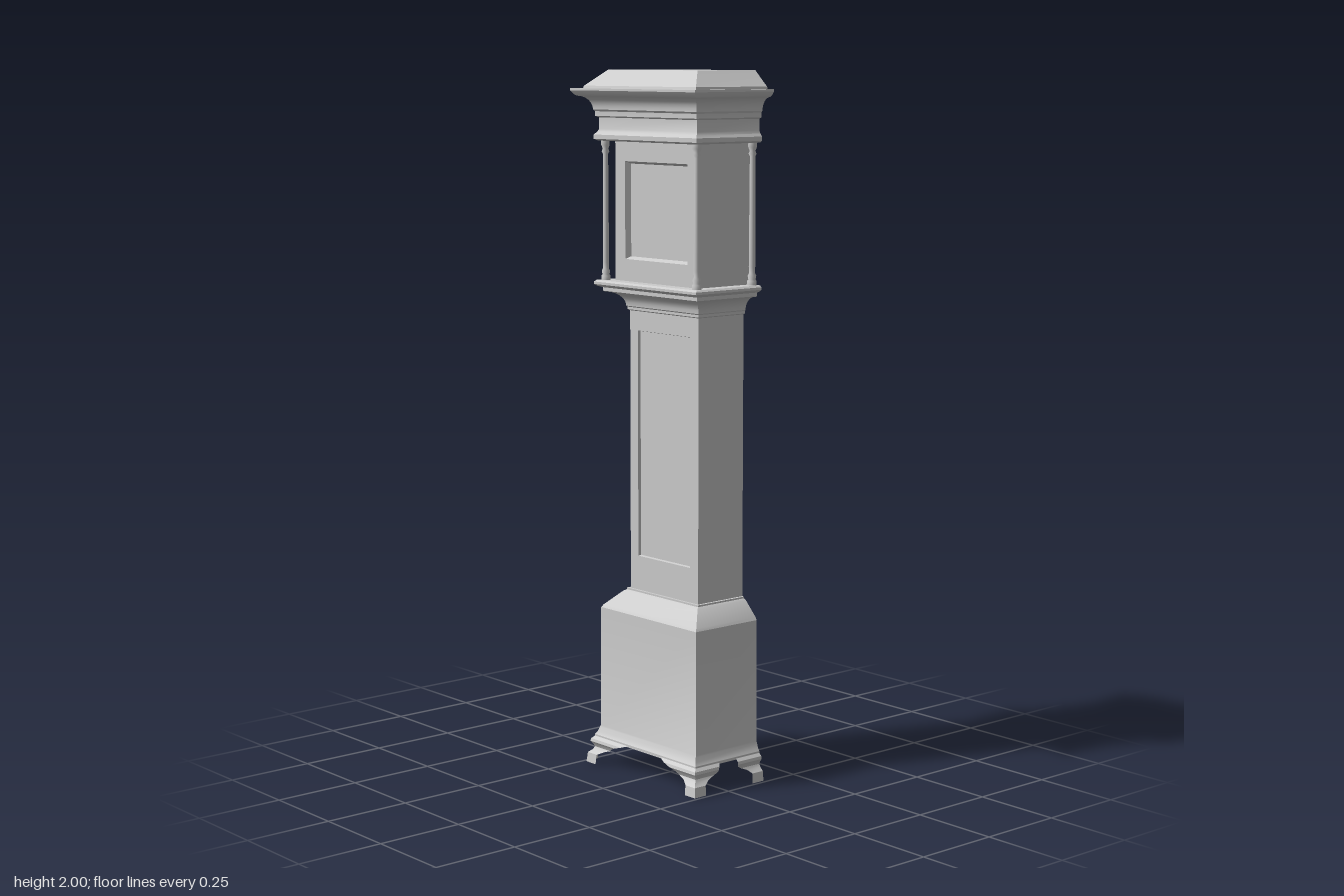
import * as THREE from 'three';
import { toCreasedNormals } from 'three/addons/utils/BufferGeometryUtils.js';

const BACK = -0.143; // open back plane
const INSET = 0.123; // front z of any level = half width - INSET
const material = new THREE.MeshStandardMaterial({ color: 0xcccccc, side: THREE.DoubleSide });

// Surface through rows of equally many points
function loft(rows, crease = 0.5) {
  const pos = [];
  for (let j = 0; j < rows.length - 1; j++) {
    for (let i = 0; i < rows[j].length - 1; i++) {
      const a = rows[j][i], b = rows[j][i + 1], c = rows[j + 1][i + 1], d = rows[j + 1][i];
      pos.push(...a, ...b, ...c, ...a, ...c, ...d);
    }
  }
  const geo = new THREE.BufferGeometry();
  geo.setAttribute('position', new THREE.Float32BufferAttribute(pos, 3));
  geo.computeVertexNormals();
  return toCreasedNormals(geo, crease);
}

function add(parent, name, geometry) {
  const mesh = new THREE.Mesh(geometry, material);
  mesh.name = name;
  parent.add(mesh);
  return mesh;
}

// Three-sided shell from a profile of [halfWidth, y]
const shell = (profile) => loft(profile.map(([w, y]) => [
  [-w, y, BACK], [-w, y, w - INSET], [w, y, w - INSET], [w, y, BACK],
]));

// Concave moulding curve between two profile points
function cove([w0, y0], [w1, y1], steps = 6) {
  return Array.from({ length: steps + 1 }, (_, i) => {
    const a = (i / steps) * Math.PI / 2;
    return [w0 + (w1 - w0) * (1 - Math.cos(a)), y0 + (y1 - y0) * Math.sin(a)];
  });
}

const rectangle = (T, w, y0, y1) => new T([
  new THREE.Vector2(-w, y0), new THREE.Vector2(w, y0),
  new THREE.Vector2(w, y1), new THREE.Vector2(-w, y1),
]);

// Case section: two side walls and a front with a recessed panel
function caseSection(parent, name, w, y0, y1, panel) {
  const group = new THREE.Group();
  group.name = name;
  parent.add(group);
  const z = w - INSET;
  for (const s of [-1, 1]) {
    add(group, 'sideWall', loft([y0, y1].map((y) => [[s * w, y, s < 0 ? BACK : z], [s * w, y, s < 0 ? z : BACK]])));
  }
  const front = rectangle(THREE.Shape, w, y0, y1);
  front.holes.push(rectangle(THREE.Path, panel.w, panel.y0, panel.y1));
  add(group, 'frontFrame', new THREE.ShapeGeometry(front)).position.z = z;

  const ring = (inset, depth) => [[-1, 0], [1, 0], [1, 1], [-1, 1], [-1, 0]].map(([sx, t]) => [
    sx * (panel.w - inset), t ? panel.y1 - inset : panel.y0 + inset, z - depth,
  ]);
  add(group, 'panelBevel', loft([ring(0, 0), ring(panel.bevel, panel.depth)]));
  const inner = rectangle(THREE.Shape, panel.w - panel.bevel, panel.y0 + panel.bevel, panel.y1 - panel.bevel);
  add(group, 'doorPanel', new THREE.ShapeGeometry(inner)).position.z = z - panel.depth;
}

export function createModel() {
  const clock = new THREE.Group();
  clock.name = 'longcaseClock';

  // Plinth with skirting and sloped shoulder
  add(clock, 'base', shell([
    [0.222, 0.075], [0.222, 0.083], [0.216, 0.092], [0.212, 0.105], [0.21, 0.11],
    [0.208, 0.462], [0.203, 0.47], [0.163, 0.511], [0.155, 0.516], [0.155, 0.521], [0.147, 0.521],
  ]));

  // Bracket feet: rows of [halfWidth, y, reach along the wall]
  const foot = [
    [0.24, 0, 0.042], [0.237, 0.028, 0.04], [0.226, 0.038, 0.05], [0.222, 0.046, 0.07],
    [0.226, 0.054, 0.085], [0.232, 0.062, 0.11], [0.23, 0.07, 0.135], [0.222, 0.078, 0.15],
  ];
  for (const s of [-1, 1]) {
    add(clock, 'frontFoot', loft(foot.map(([w, y, r]) => {
      const z = w - INSET, k = Math.min(r, 0.09);
      const row = [[s * (w - r), y, z], [s * w, y, z], [s * w, y, z - k]];
      return s > 0 ? row : row.reverse();
    })));
    add(clock, 'backFoot', loft(foot.map(([w, y, r]) => {
      const row = [[s * w, y, BACK + Math.min(r, 0.09)], [s * w, y, BACK]];
      return s > 0 ? row : row.reverse();
    })));
  }

  caseSection(clock, 'trunk', 0.147, 0.521, 1.33, { w: 0.113, y0: 0.62, y1: 1.27, bevel: 0.002, depth: 0.008 });

  // Moulding that carries the hood
  add(clock, 'waistMoulding', shell([
    [0.147, 1.325], [0.152, 1.328], [0.152, 1.335],
    ...cove([0.155, 1.338], [0.198, 1.378]),
    [0.202, 1.38], [0.202, 1.39], [0.213, 1.394], [0.22, 1.399], [0.22, 1.406], [0.214, 1.411], [0.176, 1.411],
  ]));

  caseSection(clock, 'hood', 0.176, 1.411, 1.805, { w: 0.133, y0: 1.473, y1: 1.747, bevel: 0.007, depth: 0.016 });

  // Slim turned columns at the hood corners
  const column = new THREE.LatheGeometry([
    [0.013, 0], [0.013, 0.012], [0.01, 0.016], [0.012, 0.026], [0.008, 0.034], [0.009, 0.05],
    [0.0075, 0.355], [0.011, 0.362], [0.008, 0.37], [0.012, 0.38], [0.012, 0.394],
  ].map(([r, y]) => new THREE.Vector2(r, y)), 16);
  for (const x of [-0.195, 0.195]) {
    for (const [name, z] of [['frontColumn', 0.073], ['backColumn', -0.13]]) {
      add(clock, name, column).position.set(x, 1.411, z);
    }
  }

  // Frieze, cornice and hipped top
  add(clock, 'cornice', shell([
    [0.176, 1.803], [0.21, 1.803], [0.219, 1.808], [0.219, 1.82], [0.212, 1.828], [0.208, 1.836],
    [0.208, 1.868], [0.216, 1.872], [0.216, 1.885],
    ...cove([0.22, 1.89], [0.252, 1.928]),
    [0.258, 1.932], [0.266, 1.943], [0.266, 1.949], [0.24, 1.949],
  ]));
  add(clock, 'roofSlope', shell([[0.24, 1.949], [0.238, 1.956], [0.232, 1.961], [0.19, 2]]));
  const zTop = 0.19 - INSET;
  add(clock, 'roofTop', loft([
    [[-0.19, 2, zTop], [0.19, 2, zTop]], [[-0.19, 2, BACK], [0.19, 2, BACK]],
  ]));

  return clock;
}
